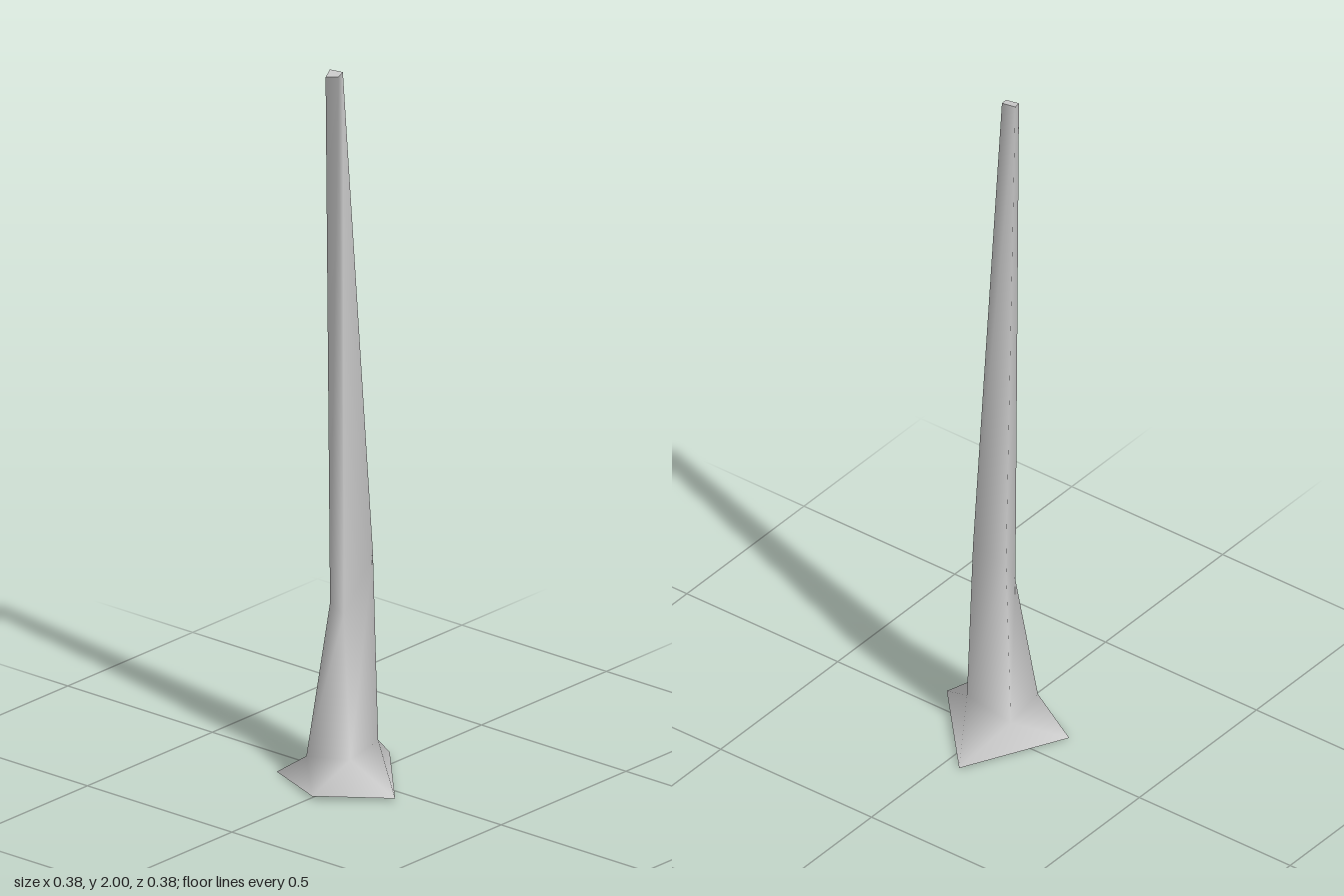
import * as THREE from 'three';

// Cross-sections from the ground up: back left, back right, front right, front left
const rings = [
  [[-0.19, 0.01, 0.01], [-0.10, 0.0, -0.19], [0.19, 0.005, -0.05], [-0.06, 0.01, 0.185]],
  [[-0.117, 0.08, -0.073], [0.018, 0.07, -0.088], [0.034, 0.11, 0.045], [-0.10, 0.10, 0.065]],
  [[-0.035, 0.49, -0.062], [0.041, 0.6, -0.09], [0.056, 0.62, 0.008], [-0.077, 0.49, 0.022]],
  [[-0.076, 1.99, -0.042], [-0.046, 2.0, -0.053], [-0.038, 2.0, -0.015], [-0.062, 1.995, -0.01]],
];

function surface(points, index) {
  const geometry = new THREE.BufferGeometry();
  geometry.setAttribute('position', new THREE.Float32BufferAttribute(points.flat(), 3));
  geometry.setIndex(index);
  geometry.computeVertexNormals();
  return geometry;
}

export function createModel() {
  const group = new THREE.Group();
  group.name = 'taperedTrunk';
  const grey = new THREE.MeshStandardMaterial({ color: 0xcccccc });
  grey.name = 'light grey';

  const add = (name, geometry) => {
    const mesh = new THREE.Mesh(geometry, grey);
    mesh.name = name;
    group.add(mesh);
  };

  // Smooth twisted sides, from flared foot to narrow tip
  const sides = [];
  for (let r = 0; r < rings.length - 1; r++) {
    for (let i = 0; i < 4; i++) {
      const j = (i + 1) % 4;
      const a = r * 4 + i, b = r * 4 + j;
      sides.push(a, a + 4, b, b, a + 4, b + 4);
    }
  }
  add('trunk', surface(rings.flat(), sides));

  // Closed ends
  add('tipCap', surface(rings[3], [0, 2, 1, 0, 3, 2]));
  add('footCap', surface(rings[0], [0, 1, 2, 0, 2, 3]));

  return group;
}
